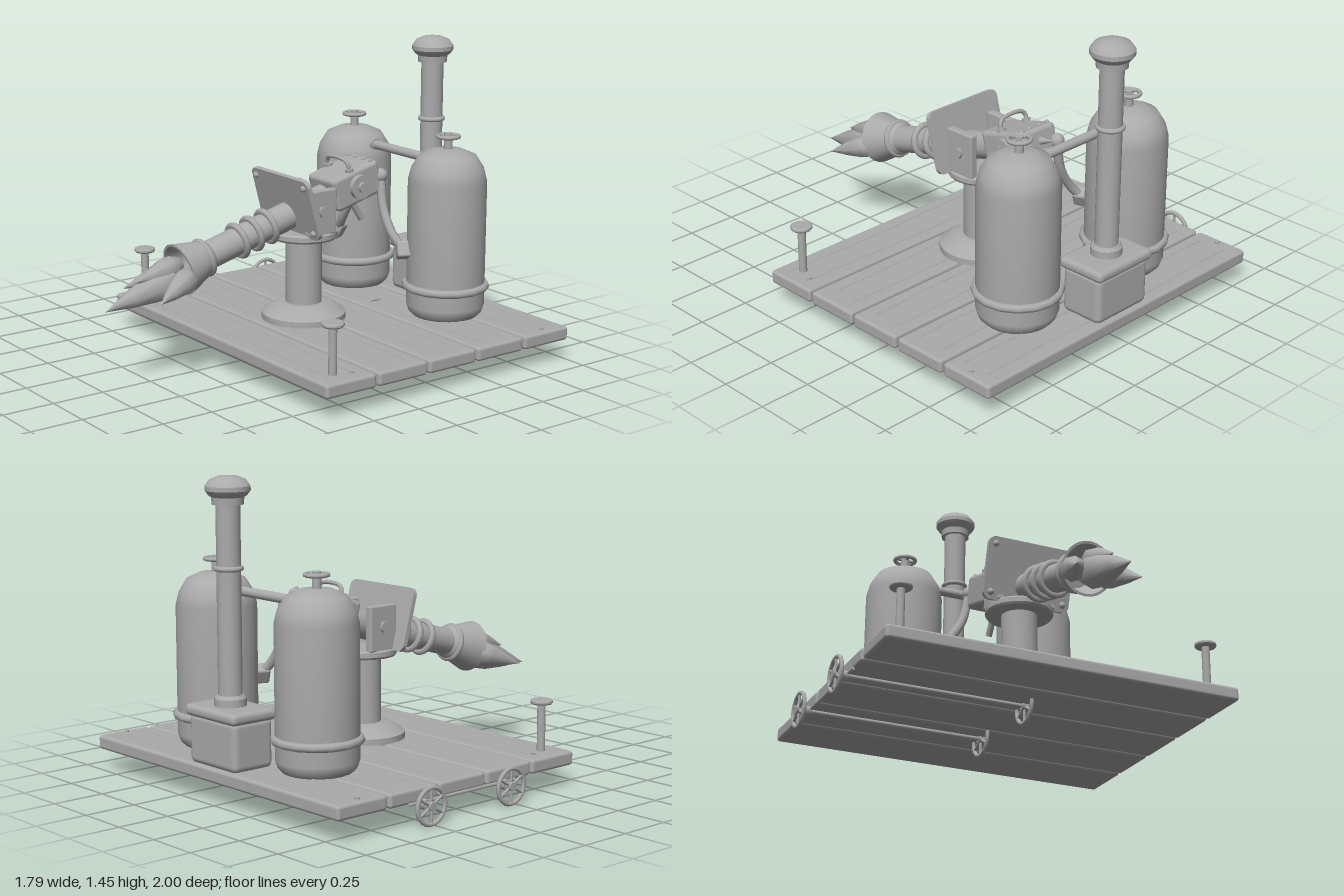
import * as THREE from 'three';
import { RoundedBoxGeometry } from 'three/addons/geometries/RoundedBoxGeometry.js';
import { toCreasedNormals } from 'three/addons/utils/BufferGeometryUtils.js';

const grey = new THREE.MeshStandardMaterial({ color: 0xaaaaaa });
grey.name = 'plain grey';

function add(parent, name, geo, x = 0, y = 0, z = 0) {
  const m = new THREE.Mesh(geo, grey);
  m.name = name;
  m.position.set(x, y, z);
  parent.add(m);
  return m;
}
const group = (parent, name, x = 0, y = 0, z = 0) => {
  const g = new THREE.Group();
  g.name = name;
  g.position.set(x, y, z);
  parent.add(g);
  return g;
};
const V = (x, y, z) => new THREE.Vector3(x, y, z);
const cyl = (r, h, n = 20, r2 = r) => new THREE.CylinderGeometry(r, r2, h, n);
const cylX = (r, h, n = 20) => cyl(r, h, n).rotateZ(Math.PI / 2);
const box = (w, h, d, r) => new RoundedBoxGeometry(w, h, d, 3, r);
const lathe = (pts, n = 28) =>
  toCreasedNormals(new THREE.LatheGeometry(pts.map(p => new THREE.Vector2(...p)), n), 0.6);
const torus = (r, t, n = 28) => new THREE.TorusGeometry(r, t, 8, n);
const flatTorus = (r, t, n) => torus(r, t, n).rotateX(Math.PI / 2);
const tube = (pts, r, seg = 20) =>
  new THREE.TubeGeometry(new THREE.CatmullRomCurve3(pts), seg, r, 8);

// Spoked ring lying in the XY plane
function spokedWheel(parent, name, r, t, bars) {
  const g = group(parent, name);
  add(g, 'rim', torus(r - t, t));
  for (let i = 0; i < bars; i++) {
    add(g, 'spoke', cyl(t * 0.7, 2 * (r - t), 8)).rotation.z = (i * Math.PI) / bars;
  }
  add(g, 'hub', cyl(t * 2, t * 3, 14).rotateX(Math.PI / 2));
  return g;
}

function buildDeck(root) {
  const deck = group(root, 'deck');
  for (let i = 0; i < 5; i++) {
    const z = -0.863 + i * 0.288;
    add(deck, 'plank', box(1.726, 0.066, 0.274, 0.015), 0, 0.133, z);
    // Wavy grain grooves
    for (const s of [-1, 1]) {
      const pts = [];
      for (let k = 0; k <= 12; k++) {
        pts.push(V(-0.79 + k * 0.132, 0, s * (0.068 + 0.008 * Math.sin(k * 0.55 + i * 1.3 + s))));
      }
      add(deck, 'grainLine', tube(pts, 0.005, 36).scale(1, 0.6, 1), 0, 0.166, z);
    }
  }
  for (const s of [-1, 1]) {
    add(deck, 'plankBolt', cyl(0.01, 0.012, 10), s * 0.825, 0.169, -0.863);
    add(deck, 'plankBolt', cyl(0.01, 0.012, 10), s * 0.79, 0.169, 0.235);
    // Front bollards
    add(deck, 'post', cyl(0.019, 0.23), s * 0.76, 0.28, 0.317);
    add(deck, 'postCap', box(0.1, 0.02, 0.1, 0.008).scale(0.01, 0.01, 0.01), s * 0.76, 0.39, 0.317);
    add(deck, 'postTop', lathe([[0, -0.01], [0.046, -0.01], [0.051, -0.004], [0.051, 0.005], [0.045, 0.01], [0, 0.01]]),
      s * 0.76, 0.395, 0.317);
  }
  // Axles with an outer and an inner wheel
  for (const z of [-0.04, -0.525]) {
    add(deck, 'axle', cylX(0.011, 0.93, 10), -0.455, 0.092, z);
    add(deck, 'axleCap', cylX(0.024, 0.035, 14), -0.875, 0.092, z);
    for (const x of [-0.915, 0]) {
      const w = spokedWheel(deck, 'wheel', 0.09, 0.01, 3);
      w.position.set(x, 0.092, z);
      w.rotation.y = Math.PI / 2;
    }
  }
  add(deck, 'sideRail', cyl(0.008, 0.65, 8).rotateX(Math.PI / 2), -0.862, 0.1, -0.285);
}

function buildTanks(root) {
  for (const s of [-1, 1]) {
    const tank = group(root, 'tank', s * 0.355, 0, -0.675);
    add(tank, 'tankBody', new THREE.LatheGeometry([
      [0, 0.165], [0.155, 0.165], [0.175, 0.185], [0.187, 0.22], [0.187, 0.5], [0.187, 0.82],
      [0.172, 0.88], [0.135, 0.94], [0.075, 0.967], [0, 0.972]].map(p => new THREE.Vector2(...p)), 32));
    add(tank, 'tankBand', flatTorus(0.19, 0.02, 16), 0, 0.31, 0);
    add(tank, 'valveStem', cyl(0.021, 0.07, 14), 0, 0.99, 0);
    const wheel = spokedWheel(tank, 'valveWheel', 0.06, 0.01, 2);
    wheel.position.y = 1.03;
    wheel.rotation.x = Math.PI / 2;
    // Feed hose from the gun body to the tank
    add(root, 'feedHose', tube([V(s * 0.09, 0.82, -0.485), V(s * 0.125, 0.67, -0.475),
      V(s * 0.19, 0.56, -0.475), V(s * 0.255, 0.48, -0.5)], 0.022));
    add(root, 'hoseJoint', new THREE.SphereGeometry(0.034, 16, 12), s * 0.09, 0.82, -0.485);
    const plug = add(root, 'hosePlug', box(0.065, 0.08, 0.07, 0.012), s * 0.255, 0.485, -0.495);
    plug.rotation.set(0, s * -0.45, s * 0.5);
  }
  add(root, 'crossPipe', cylX(0.022, 0.42), 0, 0.9, -0.675);
  for (const s of [-1, 1]) add(root, 'pipeCollar', cylX(0.029, 0.02), s * 0.19, 0.9, -0.675);
}

function buildBoiler(root) {
  const g = group(root, 'boiler', 0, 0, -0.875);
  add(g, 'fireBox', box(0.33, 0.23, 0.22, 0.03), 0, 0.275, 0);
  add(g, 'fireBoxLid', box(0.355, 0.055, 0.25, 0.024), 0, 0.403, 0);
  add(g, 'chimney', lathe([
    [0.072, 0.42], [0.072, 0.465], [0.06, 0.48], [0.054, 0.48], [0.054, 1.32], [0.07, 1.32], [0.072, 1.352],
    [0.085, 1.36], [0.1, 1.38], [0.1, 1.4], [0.08, 1.428], [0.045, 1.443], [0, 1.447]]));
  add(g, 'chimneyRing', flatTorus(0.055, 0.012), 0, 1.04, 0);
}

// Flat plate with rounded corners, facing +z
function roundedPlate(w, h, r, d) {
  const s = new THREE.Shape(), x = w / 2, y = h / 2, q = Math.PI / 2;
  s.absarc(x - r, y - r, r, 0, q);
  s.absarc(r - x, y - r, r, q, 2 * q);
  s.absarc(r - x, r - y, r, 2 * q, 3 * q);
  s.absarc(x - r, r - y, r, 3 * q, 4 * q);
  return new THREE.ExtrudeGeometry(s, { depth: d, bevelEnabled: false, curveSegments: 6 }).translate(0, 0, -d / 2);
}

function buildGun(root) {
  const mount = group(root, 'gunMount', 0, 0, -0.095);
  add(mount, 'pedestal', lathe([
    [0.2, 0.16], [0.2, 0.195], [0.185, 0.205], [0.125, 0.245], [0.086, 0.245], [0.086, 0.56],
    [0.155, 0.56], [0.162, 0.57], [0.162, 0.592], [0.155, 0.6], [0, 0.6]], 32));
  for (const s of [-1, 1]) {
    add(mount, 'yokeCheek', box(0.04, 0.215, 0.16, 0.008), s * 0.13, 0.702, 0);
    add(mount, 'yokeBolt', cylX(0.028, 0.02, 6), s * 0.155, 0.71, 0);
  }
  add(mount, 'trunnion', cylX(0.03, 0.26), 0, 0.71, 0);

  // Everything below tilts with the barrel, which runs along local +z
  const gun = group(mount, 'gun', 0, 0.7, 0);
  gun.rotation.x = 0.262;
  add(gun, 'barrel', lathe([
    [0, -0.2], [0.066, -0.2], [0.066, 0.56], [0.08, 0.575], [0.085, 0.6], [0.124, 0.725],
    [0.112, 0.725], [0.07, 0.6], [0, 0.6]]).rotateX(Math.PI / 2));
  for (const z of [0.225, 0.31, 0.393]) add(gun, 'barrelRing', torus(0.074, 0.016), 0, 0, z);
  add(gun, 'muzzleRing', torus(0.08, 0.014), 0, 0, 0.59);

  // Shield
  const shield = group(gun, 'shield', 0, 0.06, 0.0875);
  add(shield, 'shieldPlate', roundedPlate(0.44, 0.3, 0.035, 0.022));
  for (const x of [-0.185, 0.185]) for (const y of [-0.115, 0.115]) {
    add(shield, 'shieldBolt', new THREE.SphereGeometry(0.016, 12, 8), x, y, 0.011);
  }

  // Breech with handle, dial, trigger and bolts
  const breech = group(gun, 'breech', 0, 0.02, -0.262);
  add(breech, 'breechBox', box(0.21, 0.165, 0.28, 0.022));
  add(breech, 'handle', tube([V(-0.08, 0.07, 0.02), V(-0.08, 0.115, 0.02), V(-0.06, 0.135, 0.02),
    V(0.06, 0.135, 0.02), V(0.08, 0.115, 0.02), V(0.08, 0.07, 0.02)], 0.01, 30));
  for (const s of [-1, 1]) {
    add(breech, 'handleFoot', cyl(0.02, 0.016, 12), s * 0.08, 0.087, 0.02);
    for (const x of [0.03, 0.08]) {
      add(breech, 'breechBolt', new THREE.SphereGeometry(0.011, 10, 8), s * x, 0.083, -0.11);
    }
  }
  add(breech, 'dial', cylX(0.058, 0.03, 24), 0.115, 0, 0);
  add(breech, 'dialKnob', cylX(0.025, 0.02, 12), 0.135, 0, 0);
  add(breech, 'trigger', cyl(0.016, 0.17, 12), 0, -0.13, -0.02).rotation.x = 0.3;
  add(breech, 'tailSpike', new THREE.ConeGeometry(0.02, 0.08, 12).rotateX(-Math.PI / 2), 0, 0.02, -0.175);

  // Flame tongues: pointed lenses fanning out of the muzzle
  const tongue = (len, r) => new THREE.LatheGeometry(
    [[0, 0], [0.55, 0.06], [0.95, 0.25], [0.9, 0.42], [0.55, 0.68], [0, 1]]
      .map(([a, b]) => new THREE.Vector2(a * r, b * len)), 8).rotateX(Math.PI / 2);
  const flame = group(gun, 'flame', 0, -0.005, 0.68);
  add(flame, 'middleTongue', tongue(0.458, 0.08), 0, -0.02, 0);
  add(flame, 'upperTongue', tongue(0.26, 0.06), 0, 0.03, 0.02).rotation.x = -0.05;
  for (const s of [-1, 1]) {
    add(flame, 'sideTongue', tongue(0.285, 0.06), s * 0.055, -0.01, 0).rotation.set(0.08, s * 0.38, 0);
  }
}

export function createModel() {
  const model = new THREE.Group();
  model.name = 'steamWagon';
  const root = group(model, 'wagon', 0.033, 0, 0);
  buildDeck(root);
  buildTanks(root);
  buildBoiler(root);
  buildGun(root);
  return model;
}
